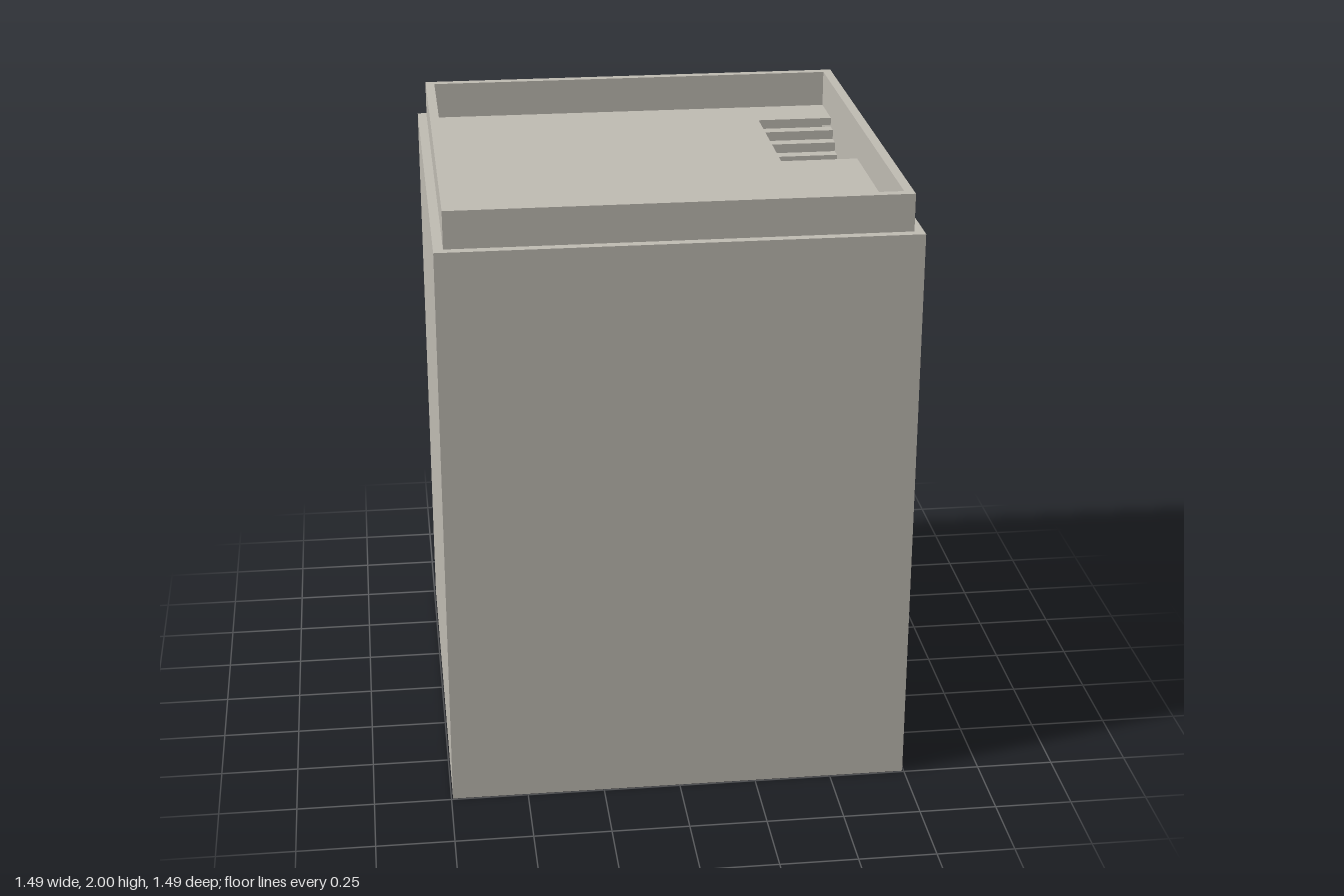
import * as THREE from 'three';

const concrete = new THREE.MeshStandardMaterial({ color: 0xc0bcb3 });
concrete.name = 'concrete';

const HALF = 0.745, LIP = 0.715, INNER = 0.685; // half widths
const ROOF = 1.88, TOP = 2, SLAB = 0.025;
const STAIR = { x0: 0.43, x1: INNER, z0: -0.52, z1: -0.04, count: 11 };
const STOREY = ROOF / 5;

// Rectangle in plan; shape y is -z once laid flat
function trace(path, x0, x1, z0, z1) {
  path.moveTo(x0, -z1);
  path.lineTo(x1, -z1);
  path.lineTo(x1, -z0);
  path.lineTo(x0, -z0);
  path.closePath();
  return path;
}

// Horizontal slab or ring of walls between two heights, with an optional opening
function plan(name, half, y0, y1, hole) {
  const shape = trace(new THREE.Shape(), -half, half, -half, half);
  if (hole) shape.holes.push(trace(new THREE.Path(), ...hole));
  const geometry = new THREE.ExtrudeGeometry(shape, { depth: y1 - y0, bevelEnabled: false });
  geometry.rotateX(-Math.PI / 2).translate(0, y0, 0);
  const mesh = new THREE.Mesh(geometry, concrete);
  mesh.name = name;
  return mesh;
}

export function createModel() {
  const model = new THREE.Group();
  model.name = 'towerBlock';
  const inside = [-INNER, INNER, -INNER, INNER];
  const stairwell = [STAIR.x0, STAIR.x1, STAIR.z0, STAIR.z1];

  // Hollow shell, floors and parapet
  model.add(plan('outerWalls', HALF, 0, ROOF, inside));
  model.add(plan('groundSlab', INNER, 0, SLAB));
  model.add(plan('upperFloor', INNER, ROOF - STOREY - SLAB, ROOF - STOREY));
  model.add(plan('roofDeck', INNER, ROOF - SLAB, ROOF, stairwell));
  model.add(plan('parapet', LIP, ROOF, TOP, inside));

  // Stairs going down from the back of the opening to the front
  const stairs = new THREE.Group();
  stairs.name = 'stairs';
  const tread = (STAIR.z1 - STAIR.z0) / STAIR.count;
  const rise = STOREY / (STAIR.count + 1);
  const stepGeometry = new THREE.BoxGeometry(STAIR.x1 - STAIR.x0, rise * 1.5, tread);
  for (let i = 0; i < STAIR.count; i++) {
    const step = new THREE.Mesh(stepGeometry, concrete);
    step.name = 'step';
    step.position.set(
      (STAIR.x0 + STAIR.x1) / 2,
      ROOF - (i + 1) * rise - rise * 0.75,
      STAIR.z0 + (i + 0.5) * tread
    );
    stairs.add(step);
  }
  model.add(stairs);
  return model;
}
